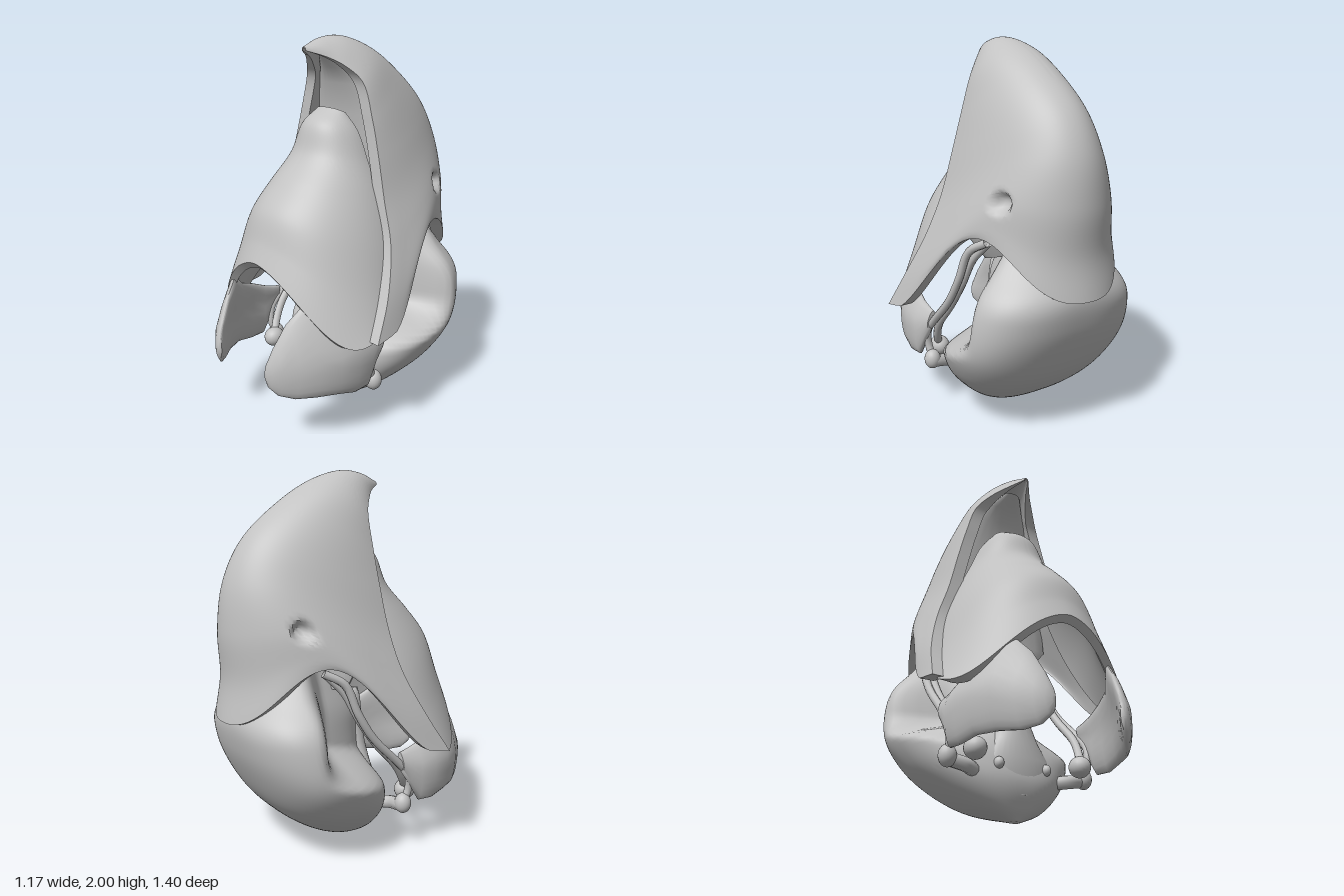
import * as THREE from 'three';
import { toCreasedNormals } from 'three/addons/utils/BufferGeometryUtils.js';

const bone = new THREE.MeshStandardMaterial({ color: 0xc2c2c2, side: THREE.DoubleSide });
bone.name = 'bone grey';

const V = (x, y, z) => new THREE.Vector3(x, y, z);
const curve = pts => new THREE.CatmullRomCurve3(pts.map(p => V(...p)), false, 'centripetal');
const smooth = THREE.MathUtils.smoothstep;

function mesh(name, geometry) {
  const m = new THREE.Mesh(geometry, bone);
  m.name = name;
  return m;
}

// Skin a list of equal closed loops; both ends are closed by joining opposite points.
function loft(loops, crease = 0.9) {
  const n = loops[0].length, last = (loops.length - 1) * n, index = [];
  for (let s = 0; s < loops.length - 1; s++) {
    for (let i = 0; i < n; i++) {
      const a = s * n + i, b = s * n + (i + 1) % n;
      index.push(a, b, a + n, b, b + n, a + n);
    }
  }
  for (let i = 0; i < n / 2 - 1; i++) {
    const j = n - 1 - i;
    index.push(last + i, last + i + 1, last + j - 1, last + i, last + j - 1, last + j);
    index.push(i, j - 1, i + 1, i, j, j - 1);
  }
  const g = new THREE.BufferGeometry();
  g.setAttribute('position', new THREE.Float32BufferAttribute(loops.flat().flatMap(p => [p.x, p.y, p.z]), 3));
  g.setIndex(index);
  return toCreasedNormals(g, crease);
}

// Loop of points around an ellipse-like section
function ring(n, place) {
  return Array.from({ length: n }, (_, i) => {
    const a = (i + 0.5) / n * Math.PI * 2;
    return place(Math.sin(a), Math.cos(a));
  });
}

// Curved beak shell: each section arches from one rim over the ridge to the other rim.
function beakShell(ridgePts, rimPts, thick, adjust) {
  const ridge = curve(ridgePts), rim = curve(rimPts), rows = 72, cols = 88, loops = [];
  for (let s = 0; s <= rows; s++) {
    const v = s / rows, A = ridge.getPoint(v), B = rim.getPoint(v), w = B.x;
    const dir = V(0, A.y - B.y, A.z - B.z).normalize();
    const side = B.z > A.z || v < 0.1 && dir.y > 0.5 ? 1 : -1;
    const th = thick * Math.min(1, w / 0.2);
    const outer = [], inner = [];
    for (let i = 0; i <= cols; i++) {
      const a = (i / cols - 0.5) * Math.PI, k = 1 - Math.cos(a);
      const p = V(side * w * Math.sin(a), A.y + (B.y - A.y) * k, A.z + (B.z - A.z) * k);
      adjust(p, k, v);
      const q = p.clone().addScaledVector(dir, -th * Math.cos(a));
      q.x -= side * th * Math.sin(a);
      outer.push(p);
      inner.unshift(q);
    }
    loops.push([...outer, ...inner]);
  }
  return loft(loops);
}

function upperBeak() {
  const ridge = [[0, 1.95, .25], [0, 1.99, .14], [0, 2, .02], [0, 1.95, -.15], [0, 1.83, -.35],
    [0, 1.65, -.55], [0, 1.45, -.65], [0, 1.2, -.68], [0, .95, -.665], [0, .75, -.695]];
  const rim = [[.015, 1.93, .25], [.08, 1.9, .17], [.14, 1.86, .11], [.21, 1.78, .05], [.27, 1.6, .04],
    [.32, 1.42, .045], [.38, 1.2, .06], [.455, 1, .09], [.535, .77, .19], [.585, .57, .31]];
  return beakShell(ridge, rim, 0.07, (p, k, v) => {
    // arched lower edge on each side
    const bump = Math.pow(Math.sin(Math.PI * Math.min(1, Math.pow(k / 0.87, 0.9))), 1.5) || 0;
    const s = Math.pow(Math.max(0, (v - 0.6) / 0.4), 1.7);
    p.y += 0.36 * bump * s;
    p.x *= 1 - 0.14 * bump * s;
    // nostril pit
    const d = Math.hypot(p.y - 1.22, p.z + 0.41);
    p.x *= 1 - 0.16 * (1 - smooth(d, 0.02, 0.065));
  });
}

function lowerBeak() {
  const ridge = [[0, 1.645, .11], [0, 1.57, .21], [0, 1.42, .27], [0, 1.28, .4],
    [0, 1.15, .51], [0, 1.0, .56], [0, .91, .595]];
  const rim = [[.1, 1.62, .06], [.17, 1.53, .04], [.24, 1.37, .03], [.32, 1.2, .03],
    [.41, .98, .06], [.48, .76, .15], [.54, .57, .27]];
  return beakShell(ridge, rim, 0.045, (p, k, v) => {
    const s = Math.max(0, (v - 0.5) / 0.5);
    p.y -= 0.18 * s * s * Math.max(0, Math.sin(Math.PI * Math.pow(k, 0.82)));
  });
}

// Roof of the mouth inside the upper beak
function palate() {
  const rows = [[1.91, .05, .1], [1.84, .12, .03], [1.76, .17, -.01], [1.6, .24, -.05],
    [1.3, .32, -.08], [1.05, .36, -.1], [.86, .2, -.08]];
  return loft(rows.map(([y, w, z]) => ring(24, (s, c) => V(w * s, y, z - 0.03 * c))));
}

// Braincase: stacked ovals with eye sockets pressed in, leaving a central wall
function braincase() {
  // each point: half width, height, back z
  const back = curve([[.24, 1.03, -.46], [.31, .95, -.54], [.375, .87, -.6], [.46, .75, -.655], [.5, .6, -.635],
    [.505, .45, -.575], [.44, .3, -.485], [.34, .18, -.36], [.2, .07, -.17], [.03, .003, .08]]);
  const front = curve([[0, 1.03, -.1], [0, .95, -.02], [0, .87, .05], [0, .75, .1], [0, .6, .1],
    [0, .45, .12], [0, .3, .18], [0, .18, .2], [0, .07, .17], [0, .003, .13]]);
  const rows = 60, cols = 96, loops = [];
  for (let r = 0; r <= rows; r++) {
    const A = back.getPoint(r / rows), F = front.getPoint(r / rows);
    const e = 0.78 + 0.22 * smooth(A.y, 0.68, 0.88);
    const square = t => Math.sign(t) * Math.pow(Math.abs(t), e);
    loops.push(ring(cols, (s, c) => {
      const p = V(A.x * square(s), A.y, (A.z + F.z) / 2 - (F.z - A.z) / 2 * (c > 0 ? square(c) : c));
      const floor = 0.43 - 0.23 * p.z;
      const socket = smooth(p.z, -0.41, -0.17) * smooth(p.y, floor - 0.06, floor + 0.1);
      p.x *= 1 - 0.68 * socket;
      return p;
    }));
  }
  return loft(loops, 1.2);
}

// Wall between the eye sockets, flaring into the skull base
function centralWall() {
  const rows = [[.82, .015, .07], [.77, .045, .08], [.65, .06, .09], [.52, .08, .1],
    [.4, .13, .115], [.3, .19, .13], [.22, .2, .13], [.12, .16, .12]];
  return loft(rows.map(([y, w, z]) => ring(32, (s, c) => V(w * s, y, z - 0.07 * c))), 1.2);
}

// Palate blade beside the mouth: upright ovals swept towards the front, leaning in at the top
function palateBlade() {
  // each row: z, bottom y, top y, x, half thickness
  const rows = [[.12, .44, .55, .43, .02], [.17, .37, .56, .43, .025], [.23, .27, .58, .435, .035],
    [.32, .265, .62, .435, .04], [.42, .285, .66, .415, .045], [.52, .285, .75, .365, .05],
    [.6, .28, .66, .3, .045], [.66, .30, .55, .245, .04], [.69, .34, .48, .215, .03], [.703, .39, .43, .205, .01]];
  return loft(rows.map(([z, y0, y1, x, t]) => ring(24, (s, c) => {
    const y = (y0 + y1) / 2 + (y1 - y0) / 2 * c;
    return V(x - t * s - 0.3 * Math.max(0, y - 0.48), y, z);
  })), 1.2);
}

const rod = (pts, r) => new THREE.TubeGeometry(curve(pts), 32, r, 10, false);

function knob(name, x, y, z, rx, ry, rz) {
  const m = mesh(name, new THREE.SphereGeometry(1, 20, 14));
  m.position.set(x, y, z);
  m.scale.set(rx, ry, rz);
  return m;
}

// Paired bones of one side
function sideBones(name) {
  const g = new THREE.Group();
  g.name = name;
  g.add(
    mesh('palateBlade', palateBlade()),
    mesh('cheekBar', rod([[.34, 1.01, -.31], [.38, .95, -.21], [.4, .79, -.14], [.41, .65, -.05],
      [.42, .5, .1], [.42, .42, .17], [.41, .33, .18], [.4, .24, .14]], .021)),
    mesh('innerBar', rod([[.31, 1, -.28], [.345, .9, -.19], [.365, .75, -.11], [.375, .61, -.01],
      [.375, .47, .12], [.35, .37, .19], [.31, .3, .24]], .022)),
    mesh('jawStrut', rod([[.22, .22, .1], [.3, .23, .15], [.4, .25, .14]], .035)),
    knob('jawJoint', .31, .29, .24, .055, .055, .06),
    knob('cheekJoint', .405, .26, .15, .045, .055, .045),
    knob('baseBump', .14, .26, .18, .025, .03, .03)
  );
  return g;
}

export function createModel() {
  const model = new THREE.Group();
  model.name = 'birdSkull';
  const left = sideBones('leftBones'), right = sideBones('rightBones');
  right.scale.x = -1;
  model.add(
    mesh('upperBeak', upperBeak()),
    mesh('lowerBeak', lowerBeak()),
    mesh('palate', palate()),
    mesh('braincase', braincase()),
    mesh('centralWall', centralWall()),
    left, right
  );
  return model;
}
